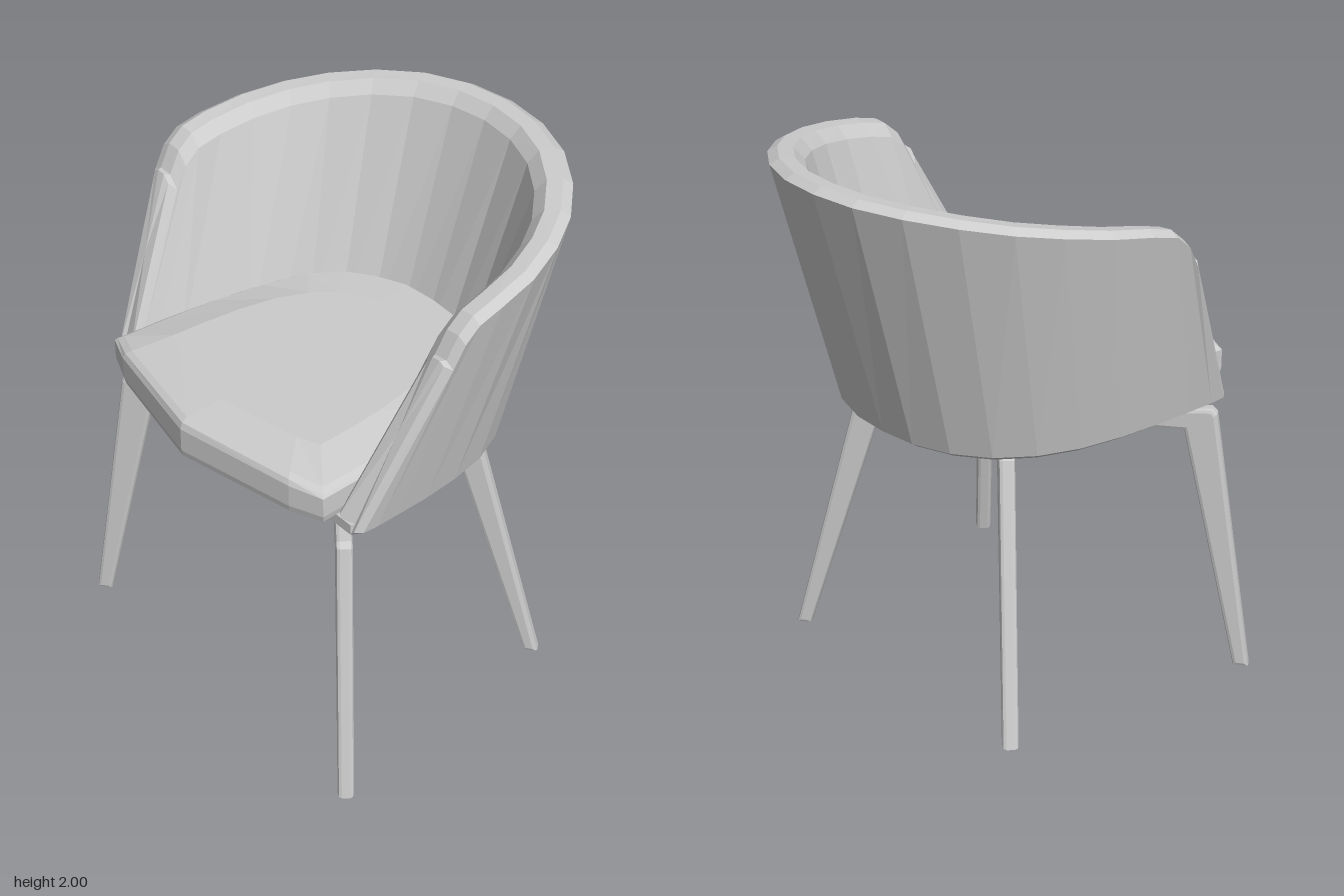
import * as THREE from 'three';

const flat = new THREE.MeshStandardMaterial({ color: 0xcccccc, flatShading: true });

function add(parent, geometry, name) {
  const mesh = new THREE.Mesh(geometry, flat);
  mesh.name = name;
  parent.add(mesh);
  return mesh;
}

// Skin a row of closed rings and cap both ends with a fan
function loft(rings) {
  const n = rings[0].length, pos = [], index = [];
  rings.forEach(ring => ring.forEach(p => pos.push(...p)));
  for (let i = 0; i < rings.length - 1; i++) {
    for (let j = 0; j < n; j++) {
      const a = i * n + j, b = i * n + (j + 1) % n;
      index.push(a, b, a + n, b, b + n, a + n);
    }
  }
  [0, rings.length - 1].forEach((r, end) => {
    const c = pos.length / 3, mid = [0, 0, 0];
    rings[r].forEach(p => p.forEach((v, k) => { mid[k] += v / n; }));
    pos.push(...mid);
    for (let j = 0; j < n; j++) {
      const a = r * n + j, b = r * n + (j + 1) % n;
      if (end) index.push(c, a, b); else index.push(c, b, a);
    }
  });
  const geo = new THREE.BufferGeometry();
  geo.setAttribute('position', new THREE.Float32BufferAttribute(pos, 3));
  geo.setIndex(index);
  geo.computeVertexNormals();
  return geo;
}

const floorY = z => 1.02 + 0.07 * (z + 0.48);

// Half of the shell, back to front: bottom x, z; top x, y, z; bottom thickness; rim scale
const shellHalf = [
  [0, -0.48, 0, 1.98, -0.75, 0.15, 1],
  [0.15, -0.47, 0.18, 1.977, -0.73, 0.15, 1],
  [0.30, -0.425, 0.355, 1.97, -0.665, 0.15, 1],
  [0.43, -0.345, 0.51, 1.955, -0.56, 0.16, 1],
  [0.53, -0.23, 0.635, 1.935, -0.43, 0.17, 1],
  [0.60, -0.09, 0.72, 1.915, -0.29, 0.18, 1],
  [0.64, 0.06, 0.78, 1.89, -0.13, 0.18, 1],
  [0.665, 0.21, 0.805, 1.865, 0.03, 0.17, 1],
  [0.68, 0.35, 0.81, 1.84, 0.13, 0.15, 1],
  [0.69, 0.45, 0.81, 1.79, 0.19, 0.13, 1],
  [0.69, 0.51, 0.805, 1.71, 0.235, 0.115, 1],
  [0.67, 0.535, 0.78, 1.72, 0.255, 0.075, 0.6],
];

// Move a point horizontally toward the middle of the horseshoe
function inset(x, y, z, d, centreZ) {
  const dz = Math.min(0, z - centreZ), len = Math.hypot(x, dz) || 1;
  return [x - d * x / len, y, z - d * dz / len];
}

// Cross-section of the shell wall: up the outside, over the rim, down the inside
function wallSection([bx, bz, tx, ty, tz, thick, s], side) {
  const y = floorY(bz);
  const base = (d, dy) => inset(side * bx, y + dy, bz, d, 0.15);
  const top = (d, dy) => inset(side * tx, ty + dy * s, tz, d * s, 0.05);
  return [base(0.03 * s, 0), base(0, 0.02), top(0, 0), top(0.035, 0.02),
    top(0.09, 0.015), top(0.13, -0.03), base(thick, 0.05)];
}

function shell() {
  const group = new THREE.Group();
  group.name = 'shell';
  const left = shellHalf.map(c => wallSection(c, 1));
  const right = shellHalf.slice(1).reverse().map(c => wallSection(c, -1));
  add(group, loft([...right, ...left]), 'backrestAndArms');

  // Sloping floor under the cushion
  const outline = [...right, ...left].map(s => new THREE.Vector2(s[0][0], -s[0][2]));
  const floor = new THREE.ExtrudeGeometry(new THREE.Shape(outline), { depth: 0.04, bevelEnabled: false });
  floor.rotateX(-Math.PI / 2);
  const p = floor.attributes.position;
  for (let i = 0; i < p.count; i++) p.setY(i, p.getY(i) + floorY(p.getZ(i)));
  floor.computeVertexNormals();
  add(group, floor, 'shellFloor');
  return group;
}

// Cushion with a pointed front edge and softened rims
function cushion() {
  const half = [[0.47, 0.65], [0.59, 0.60], [0.58, 0.40], [0.56, 0.20], [0.52, 0],
    [0.45, -0.17], [0.36, -0.29], [0.26, -0.36], [0.14, -0.41]];
  const outline = [[0, 0.745], ...half, [0, -0.42], ...half.slice().reverse().map(([x, z]) => [-x, z])];
  const droop = x => 0.03 * THREE.MathUtils.clamp((Math.abs(x) - 0.42) / 0.15, 0, 1);
  const levels = [[0.96, 1.12, 0], [0.99, 1.135, 0], [1, 1.16, 0], [1, 1.25, 0.5], [0.985, 1.275, 1], [0.95, 1.288, 1], [0.7, 1.292, 0]];
  return loft(levels.map(([s, y, d]) =>
    outline.map(([x, z]) => [x * s, y - d * droop(x), 0.15 + (z - 0.15) * s])));
}

// One leg with its rail, drawn in the upright plane through the crossing of the frame
function legGeometry(foot, topOuter, topInner, topY) {
  const shape = new THREE.Shape();
  shape.moveTo(0, 0.95);
  shape.lineTo(topInner, 0.95);
  shape.lineTo(foot[0], 0);
  shape.lineTo(foot[1], 0);
  shape.lineTo(topOuter + 0.004, topY - 0.02);
  shape.lineTo(topOuter - 0.015, topY);
  shape.lineTo(topInner - 0.06, 1.03);
  shape.lineTo(0, 1.03);
  const bevel = 0.014;
  const geo = new THREE.ExtrudeGeometry(shape, {
    depth: 0.058 - 2 * bevel, bevelThickness: bevel, bevelSize: bevel, bevelOffset: -bevel, bevelSegments: 2,
  });
  geo.translate(0, 0, bevel - 0.029);
  return geo;
}

function base() {
  const group = new THREE.Group();
  group.name = 'base';
  const front = legGeometry([0.9, 0.957], 0.797, 0.685, 1.04);
  const rear = legGeometry([0.725, 0.778], 0.515, 0.425, 1.025);
  for (const side of [1, -1]) {
    const tag = side > 0 ? 'Left' : 'Right';
    for (const [geo, name, dx, dz] of [[front, 'frontLeg', 0.735, 0.57], [rear, 'rearLeg', 0.595, -0.46]]) {
      const leg = add(group, geo, name + tag);
      leg.position.z = 0.055;
      leg.rotation.y = Math.atan2(-dz, side * dx);
    }
  }
  // Cross blocks that carry the shell
  for (const [z, w, name] of [[0.315, 0.62, 'frontMount'], [-0.15, 0.5, 'rearMount']]) {
    const h = floorY(z) + 0.01 - 0.98;
    add(group, new THREE.BoxGeometry(w, h, 0.07), name).position.set(0, 0.98 + h / 2, z);
  }
  return group;
}

export function createModel() {
  const model = new THREE.Group();
  model.name = 'armchair';
  model.add(shell(), base());
  add(model, cushion(), 'seatCushion');
  return model;
}
